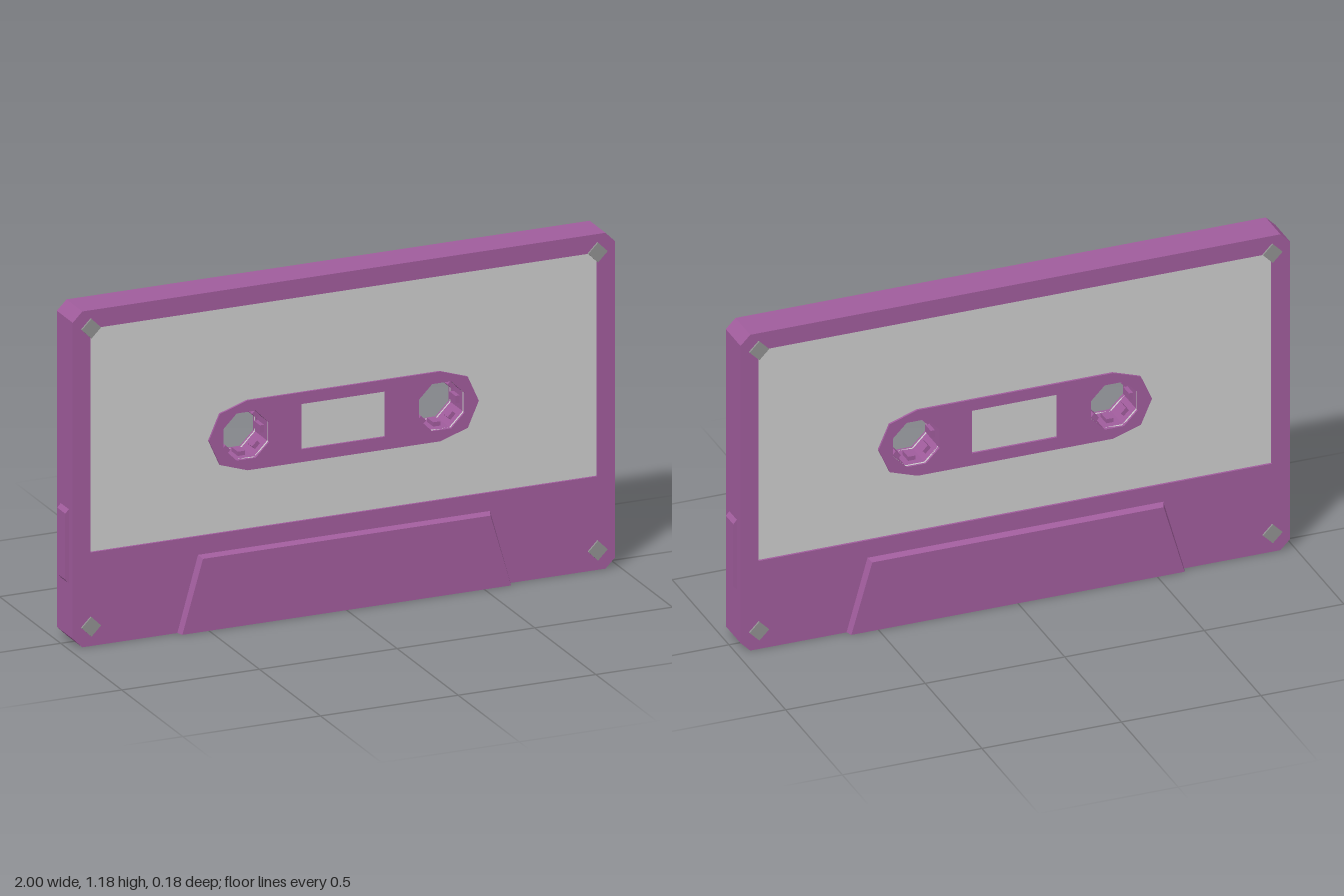
import * as THREE from 'three';

const material = (color) => new THREE.MeshStandardMaterial({ color, flatShading: true });
const shellMat = material(0xa05c9c);
const labelMat = material(0xcccccc);
const screwMat = material(0x909090);
const tapeMat = material(0x1a1208);

const SPOOL_X = 0.355, SPOOL_Y = 0.66;
const CORE = 0.05, FACE = 0.065;

const toPoints = (list) => list.map(([x, y]) => new THREE.Vector2(x, y));
const rect = (x0, y0, x1, y1) => toPoints([[x0, y0], [x1, y0], [x1, y1], [x0, y1]]);

// Octagonal opening around a spool centre
function spoolHole(cx) {
  return Array.from({ length: 8 }, (_, i) => {
    const a = (i + 0.5) * Math.PI / 4;
    return new THREE.Vector2(cx + 0.09 * Math.cos(a), SPOOL_Y + 0.09 * Math.sin(a));
  });
}
const spoolHoles = () => [spoolHole(-SPOOL_X), spoolHole(SPOOL_X)];

// Flat plate between two depths
function plate(points, holes, z0, z1) {
  const shape = new THREE.Shape(points);
  holes.forEach((h) => shape.holes.push(new THREE.Path(h)));
  const geo = new THREE.ExtrudeGeometry(shape, { depth: z1 - z0, bevelEnabled: false });
  return geo.translate(0, 0, z0);
}

// Chamfered outline, with optional notches along the bottom edge
function outline(notches = []) {
  const w = 0.985, h = 1.185, c = 0.035;
  const pts = [[-w + c, 0]];
  notches.forEach(([a, b]) => pts.push([a, 0], [a, 0.06], [b, 0.06], [b, 0]));
  pts.push([w - c, 0], [w, c], [w, h - c], [w - c, h], [-w + c, h], [-w, h - c], [-w, c]);
  return toPoints(pts);
}

function add(parent, name, geo, mat) {
  const mesh = new THREE.Mesh(geo, mat);
  mesh.name = name;
  parent.add(mesh);
  return mesh;
}

// Everything on one face of the cassette
function createFace(name) {
  const face = new THREE.Group();
  face.name = name;

  add(face, 'faceFrame', plate(outline(), [rect(-0.92, 0.33, 0.92, 1.12)], CORE, FACE), shellMat);
  add(face, 'label', plate(rect(-0.92, 0.33, 0.92, 1.12), spoolHoles(), CORE, 0.057), labelMat);

  const island = toPoints([
    [-0.49, 0.66], [-0.45, 0.57], [-0.35, 0.537], [0.35, 0.537], [0.45, 0.57],
    [0.49, 0.66], [0.45, 0.75], [0.35, 0.783], [-0.35, 0.783], [-0.45, 0.75],
  ]);
  const holes = [...spoolHoles(), rect(-0.155, 0.582, 0.15, 0.742)];
  add(face, 'spoolSurround', plate(island, holes, CORE, FACE), shellMat);

  // Raised trapezoid with slanted top and sides
  const raised = plate(toPoints([[-0.605, 0], [0.605, 0], [0.53, 0.265], [-0.53, 0.265]]), [], FACE, 0.088);
  const p = raised.attributes.position;
  for (let i = 0; i < p.count; i++) {
    if (p.getZ(i) < 0.08) continue;
    p.setX(i, p.getX(i) - Math.sign(p.getX(i)) * 0.008);
    if (p.getY(i) > 0.1) p.setY(i, p.getY(i) - 0.008);
  }
  raised.computeVertexNormals();
  add(face, 'raisedTrapezoid', raised, shellMat);

  for (const x of [-0.92, 0.92]) {
    for (const y of [0.07, 1.122]) {
      const geo = new THREE.CylinderGeometry(0.035, 0.035, 0.022, 4).rotateX(Math.PI / 2);
      add(face, 'screw', geo, screwMat).position.set(x, y, 0.061);
    }
  }

  // Narrow the two small square openings in the bottom edge
  for (const x of [-0.33, 0.33]) {
    add(face, 'guideHoleWall', new THREE.BoxGeometry(0.06, 0.06, 0.02), shellMat).position.set(x, 0.03, 0.04);
  }
  return face;
}

export function createModel() {
  const model = new THREE.Group();
  model.name = 'cassette';

  // Core with tape openings along the bottom
  const notches = [[-0.56, -0.39], [-0.36, -0.3], [-0.27, 0.27], [0.3, 0.36], [0.39, 0.56]];
  add(model, 'shellCore', plate(outline(notches), spoolHoles(), -CORE, CORE), shellMat);
  for (const i of [0, 2, 4]) {
    const [a, b] = notches[i];
    add(model, 'tape', new THREE.BoxGeometry(b - a, 0.012, 2 * CORE), tapeMat).position.set((a + b) / 2, 0.054, 0);
  }

  const front = createFace('frontFace');
  const back = createFace('backFace');
  back.rotation.y = Math.PI;
  model.add(front, back);

  // Eight teeth inside each spool opening
  for (const side of [-1, 1]) {
    const spool = new THREE.Group();
    spool.name = side > 0 ? 'leftSpool' : 'rightSpool';
    spool.position.set(side * SPOOL_X, SPOOL_Y, 0);
    for (let i = 0; i < 8; i++) {
      const a = i * Math.PI / 4;
      const tooth = add(spool, 'spoolTooth', new THREE.BoxGeometry(0.018, 0.026, 0.05), shellMat);
      tooth.position.set(0.077 * Math.cos(a), 0.077 * Math.sin(a), 0);
      tooth.rotation.z = a;
    }
    model.add(spool);

    // Side grip with chamfered ends
    const grip = plate(toPoints([[0.97, 0.22], [0.985, 0.22], [0.998, 0.235], [0.998, 0.468], [0.985, 0.482], [0.97, 0.482]]), [], -0.033, 0.033);
    const mesh = add(model, side > 0 ? 'leftGrip' : 'rightGrip', grip, shellMat);
    mesh.rotation.y = side > 0 ? 0 : Math.PI;
  }
  return model;
}
